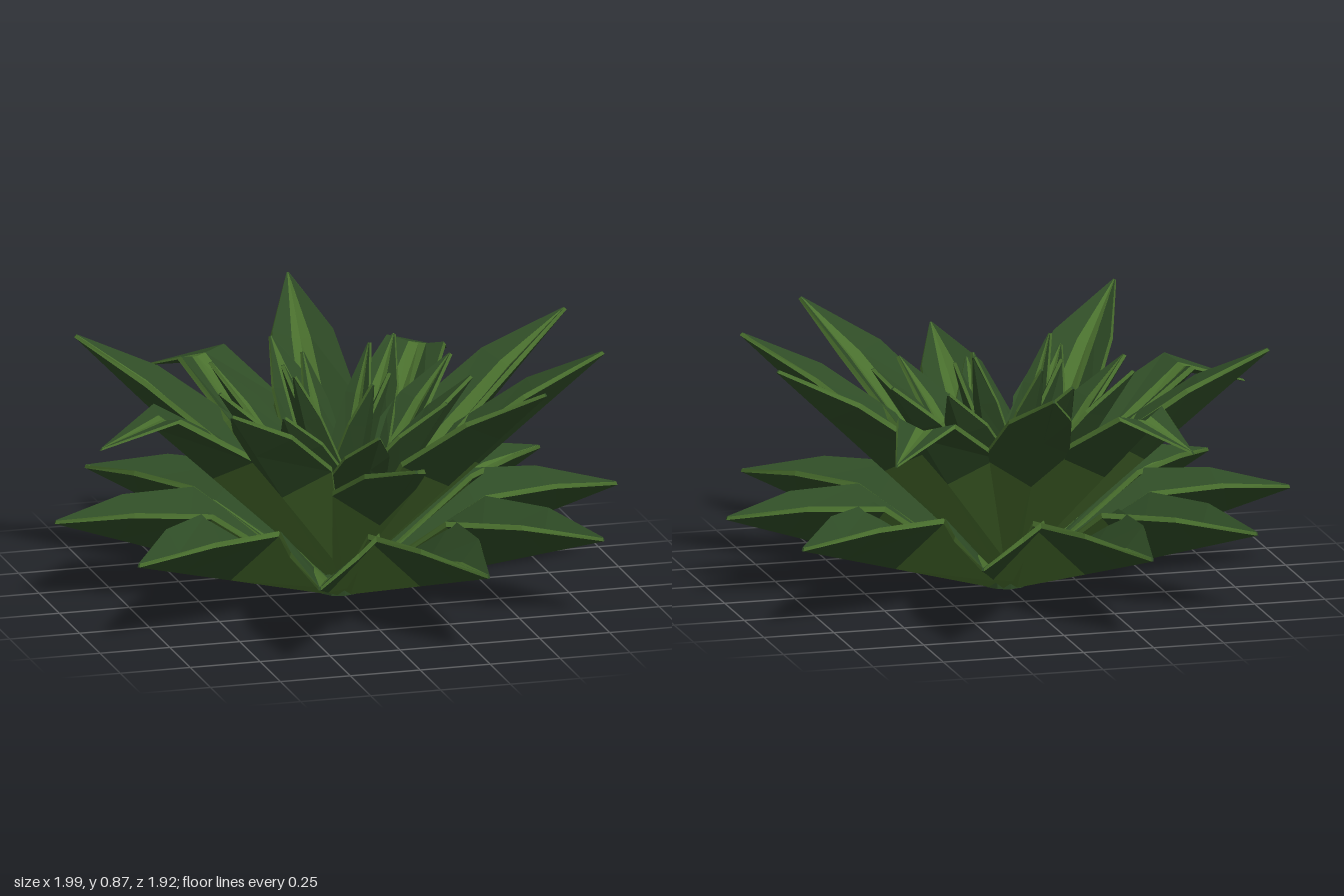
import * as THREE from 'three';

const green = new THREE.MeshStandardMaterial({ color: 0x2f4c26 });
green.name = 'leafGreen';
const light = new THREE.MeshStandardMaterial({ color: 0x4a702e });
light.name = 'leafLight';
green.flatShading = light.flatShading = true;

// One V-shaped leaf along +x: straight keel from the base, faceted, optionally with a drooping tip
function leafGeometry({ base, tip, widths, lifts, thick, droop }) {
  const fractions = [0, 0.5, 0.76, 1];
  const [dx, dy] = [tip[0] - base[0], tip[1] - base[1]];
  const length = Math.hypot(dx, dy);
  const up = [-dy / length, dx / length];
  const rings = fractions.map((f, i) => {
    const x = base[0] + dx * f;
    const y = i === 3 && droop ? droop : base[1] + dy * f;
    const w = widths[i];
    const rise = lifts[i] * (droop && i === 2 ? 0.7 : 1);
    const mid = i === 3 ? 0.012 : thick * 2;
    const edge = i === 3 ? 0.012 : thick;
    const inner = mid + (rise + edge - mid) * 0.3;
    // loop: keel, right edge, groove, left edge
    return [[0, 0], [w, rise], [w * 0.97, rise + edge], [w * 0.3, inner], [0, mid],
      [-w * 0.3, inner], [-w * 0.97, rise + edge], [-w, rise]]
      .map(([z, h]) => [x + up[0] * h, y + up[1] * h, z]);
  });

  const faces = { green: [], light: [] };
  const quad = (list, a, b, c, d) => list.push(...a, ...b, ...c, ...a, ...c, ...d);
  for (let i = 0; i < 3; i++) {
    for (let j = 0; j < 8; j++) {
      const k = (j + 1) % 8;
      const rim = j === 1 || j === 6;
      const stripe = j === 3 || j === 4;
      const underBase = i === 0 && (j === 0 || j === 7);
      quad(rim || stripe || underBase ? faces.light : faces.green,
        rings[i][j], rings[i + 1][j], rings[i + 1][k], rings[i][k]);
    }
  }
  // close the tip
  const end = rings[3];
  for (let j = 1; j < 7; j++) faces.green.push(...end[0], ...end[j + 1], ...end[j]);

  const geometry = new THREE.BufferGeometry();
  geometry.setAttribute('position',
    new THREE.Float32BufferAttribute([...faces.green, ...faces.light], 3));
  geometry.addGroup(0, faces.green.length / 3, 0);
  geometry.addGroup(faces.green.length / 3, faces.light.length / 3, 1);
  geometry.computeVertexNormals();
  return geometry;
}

// Each leaf: [angle in degrees, tip radius, tip height, drooped tip height]
const rows = [
  {
    name: 'outerLeaf', base: [0.08, 0.005], thick: 0.018,
    widths: [0.035, 0.175, 0.12, 0.004], lifts: [0.025, 0.19, 0.115, 0],
    leaves: [0, 30, 70, 105, 135, 175, 210, 250, 285, 320].map(a => [a, 0.995, 0.295])
  },
  {
    name: 'middleLeaf', base: [0.05, 0.06], thick: 0.018,
    widths: [0.035, 0.15, 0.11, 0.004], lifts: [0.02, 0.12, 0.08, 0],
    leaves: [
      [15, 0.911, 0.865], [50, 0.905, 0.865, 0.62], [85, 0.913, 0.865], [120, 0.905, 0.865, 0.62],
      [155, 0.92, 0.865], [190, 0.914, 0.865, 0.62], [230, 0.915, 0.865], [270, 0.955, 0.69],
      [305, 0.915, 0.865], [340, 0.914, 0.865]
    ]
  },
  {
    name: 'innerLeaf', base: [0.03, 0.1], thick: 0.014,
    widths: [0.03, 0.11, 0.08, 0.004], lifts: [0.02, 0.08, 0.05, 0],
    leaves: [
      [20, 0.48, 0.76], [51, 0.494, 0.78], [105, 0.46, 0.79], [150, 0.46, 0.78],
      [190, 0.46, 0.76], [230, 0.47, 0.74], [270, 0.5, 0.68], [310, 0.45, 0.74], [345, 0.46, 0.76]
    ]
  },
  {
    name: 'heartLeaf', base: [0.02, 0.12], thick: 0.012,
    widths: [0.02, 0.075, 0.05, 0.004], lifts: [0.015, 0.05, 0.03, 0],
    leaves: [
      [39, 0.19, 0.84], [110, 0.22, 0.8], [160, 0.2, 0.8],
      [220, 0.28, 0.83], [290, 0.2, 0.78], [340, 0.18, 0.78]
    ]
  }
];

export function createModel() {
  const model = new THREE.Group();
  model.name = 'spikyRosettePlant';

  // short root stub under the leaves
  const stub = new THREE.Mesh(new THREE.CylinderGeometry(0.08, 0.075, 0.04, 10), green);
  stub.name = 'rootStub';
  stub.position.y = 0.02;
  model.add(stub);

  // rows of leaves from the outside in
  for (const { name, leaves, ...shape } of rows) {
    const row = new THREE.Group();
    row.name = name + 'Row';
    leaves.forEach(([angle, radius, height, droop]) => {
      const geometry = leafGeometry({ ...shape, tip: [radius, height], droop });
      const leaf = new THREE.Mesh(geometry, [green, light]);
      leaf.name = name;
      leaf.rotation.y = THREE.MathUtils.degToRad(angle);
      row.add(leaf);
    });
    model.add(row);
  }
  return model;
}
